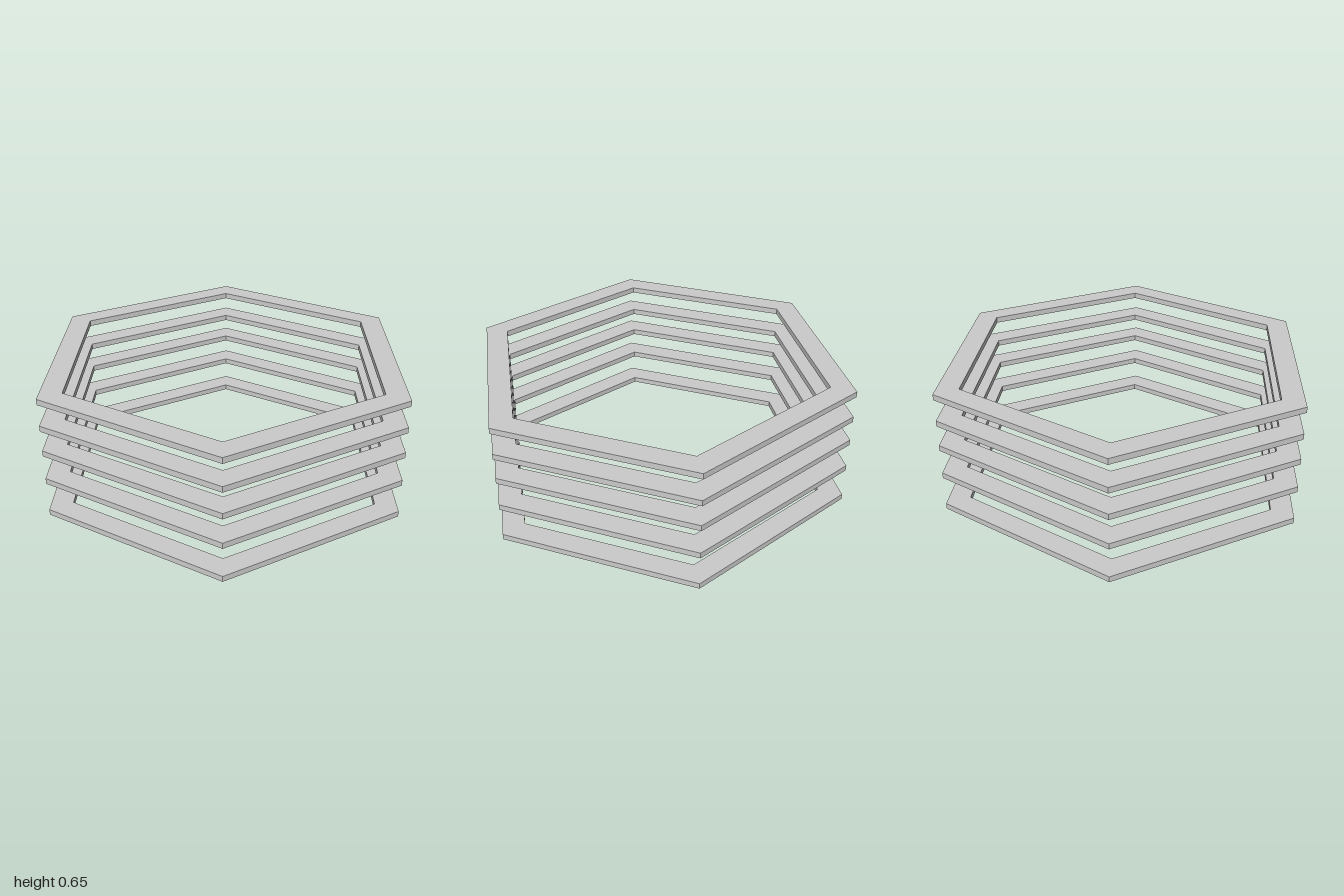
import * as THREE from 'three';

const OUTER = 1, INNER = 0.873, THICKNESS = 0.03;
const LEVELS = [0, 0.184, 0.341, 0.478, 0.62]; // underside height of each ring

// Corners of a hexagon with two points on the x axis
function hexagon(radius) {
  return Array.from({ length: 6 }, (_, i) => {
    const a = (i * Math.PI) / 3;
    return new THREE.Vector2(Math.cos(a) * radius, Math.sin(a) * radius);
  });
}

export function createModel() {
  const group = new THREE.Group();
  group.name = 'hexagonalRingStack';
  const material = new THREE.MeshStandardMaterial({ color: 0xcccccc, flatShading: true });

  // Flat hexagonal frame, laid down so its thickness runs up y
  const shape = new THREE.Shape(hexagon(OUTER));
  shape.holes.push(new THREE.Path(hexagon(INNER).reverse()));
  const geometry = new THREE.ExtrudeGeometry(shape, { depth: THICKNESS, bevelEnabled: false });
  geometry.rotateX(-Math.PI / 2);

  // Stack of separate rings
  LEVELS.forEach((y, i) => {
    const ring = new THREE.Mesh(geometry, material);
    ring.name = `hexagonalRing${i + 1}`;
    ring.position.y = y;
    group.add(ring);
  });
  return group;
}
